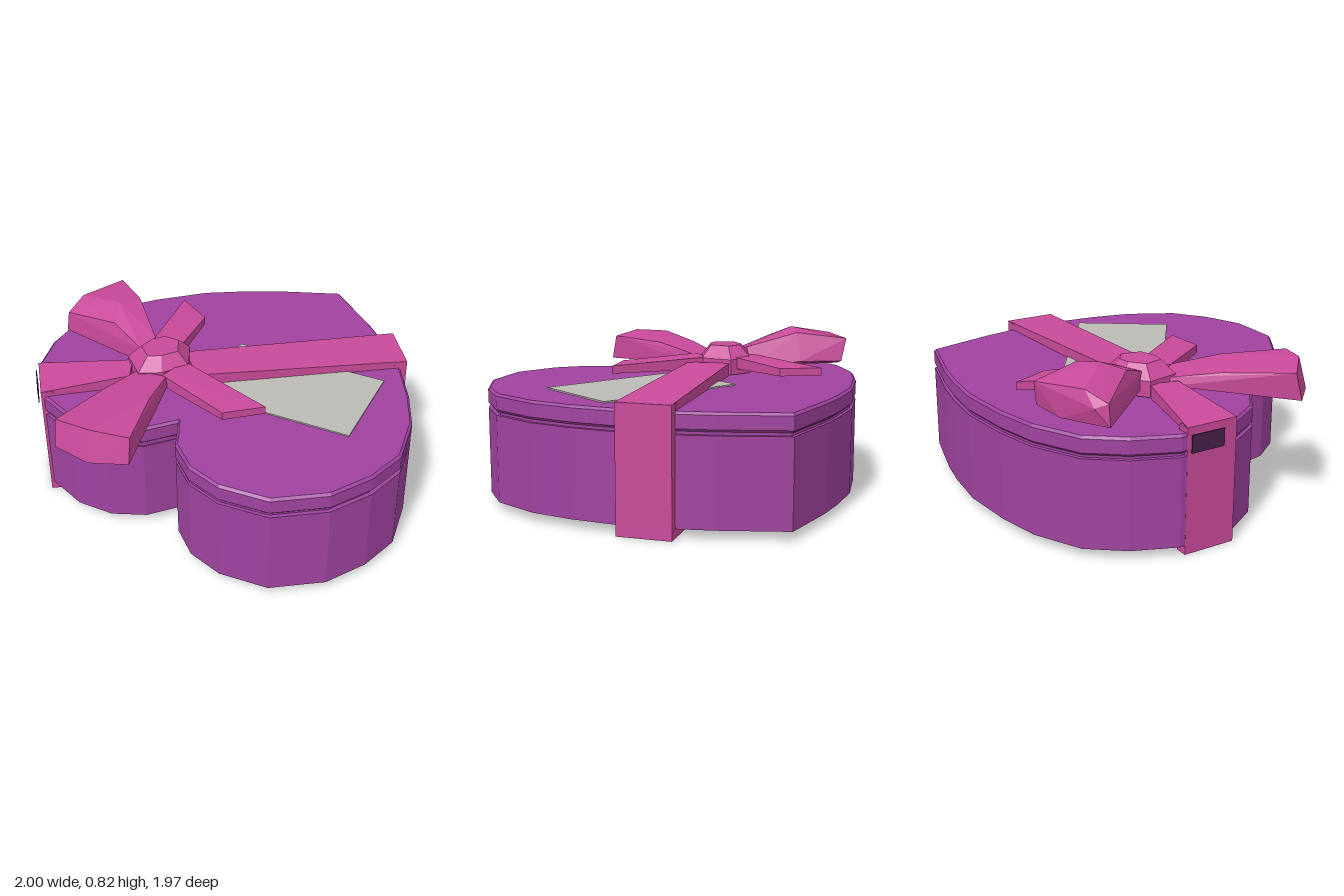
import * as THREE from 'three';
import { ConvexGeometry } from 'three/addons/geometries/ConvexGeometry.js';

const mat = (name, color) => {
  const m = new THREE.MeshStandardMaterial({ color, flatShading: true });
  m.name = name;
  return m;
};

// right half of the heart outline as [x, z], from back tip to front notch
const HALF = [[0, -0.99], [0.3, -0.81], [0.44, -0.71], [0.62, -0.56], [0.8, -0.34], [0.92, -0.15], [1, 0.1],
  [0.97, 0.31], [0.88, 0.52], [0.68, 0.71], [0.44, 0.765], [0.25, 0.735], [0.1, 0.64], [0.04, 0.55], [0, 0.49]];
const HEART = [...HALF, ...HALF.slice(1, -1).reverse().map(([x, z]) => [-x, z])];

// upright prism over an [x, z] outline, optionally with a small bevel
function slab(outline, y0, y1, bevel = 0) {
  const shape = new THREE.Shape(outline.map(([x, z]) => new THREE.Vector2(x, -z)));
  const g = new THREE.ExtrudeGeometry(shape, {
    depth: y1 - y0 - bevel * 2, bevelEnabled: bevel > 0, bevelThickness: bevel,
    bevelSize: bevel, bevelOffset: -bevel, bevelSegments: 1,
  });
  return g.rotateX(-Math.PI / 2).translate(0, y0 + bevel, 0);
}

// faceted solid around a few [x, y, z] points
const hull = (pts) => new ConvexGeometry(pts.map((p) => new THREE.Vector3(...p)));

// ribbon piece between two edges, each edge = [a, b, yBottom, yTop] with a, b as [x, z]
const band = (...edges) => hull(edges.flatMap(([a, b, lo, hi]) =>
  [a, b].flatMap(([x, z]) => [[x, lo, z], [x, hi, z]])));

export function createModel() {
  const group = new THREE.Group();
  const purple = mat('boxPurple', 0xa143a0);
  const pink = mat('ribbonPink', 0xc94a9a);
  const grey = mat('cardGrey', 0xbcbab4);
  const dark = mat('darkPurple', 0x4a2049);
  const add = (name, geometry, material) => {
    const mesh = new THREE.Mesh(geometry, material);
    mesh.name = name;
    group.add(mesh);
    return mesh;
  };

  // heart-shaped box
  add('boxBase', slab(HEART, 0.045, 0.48), purple);
  add('boxNeck', slab(HEART.map(([x, z]) => [x * 0.98, z * 0.98]), 0.47, 0.51), purple);
  add('boxLid', slab(HEART, 0.495, 0.585, 0.012), purple);

  // card tucked under the ribbon
  add('card', slab([[-0.14, -0.23], [0.64, -0.37], [0.73, 0.12], [-0.05, 0.26]], 0.584, 0.592), grey);

  // ribbon wrapped around the box, pinched near the knot
  const backA = [0.48, -0.74], backB = [0.67, -0.55];
  const frontA = [-0.86, 0.54], frontB = [-0.67, 0.725];
  const midA = [-0.37, 0.15], midB = [-0.26, 0.26];
  add('ribbonTopBack', band([backA, backB, 0.58, 0.622], [[-0.28, 0.07], [-0.1, 0.2], 0.58, 0.65]), pink);
  add('ribbonTopFront', band([frontA, frontB, 0.58, 0.612], [[-0.45, 0.28], [-0.37, 0.4], 0.58, 0.65]), pink);
  add('ribbonBottomBack', band([backA, backB, 0, 0.046], [[-0.08, -0.17], [0.1, 0.01], 0, 0.046]), pink);
  add('ribbonBottomMiddle', band([[-0.08, -0.17], [0.1, 0.01], 0, 0.046], [midA, midB, 0, 0.046]), pink);
  add('ribbonBottomFront', band([midA, midB, 0, 0.046], [frontA, frontB, 0, 0.046]), pink);
  const inset = ([x, z], d) => [x + d, z - d];
  add('ribbonSideBack', slab([backA, backB, inset(backB, -0.045), inset(backA, -0.045)], 0, 0.62), pink);
  add('ribbonSideFront', slab([frontA, frontB, inset(frontB, 0.045), inset(frontA, 0.045)], 0, 0.61), pink);
  add('ribbonFold', slab([[-0.853, 0.553], [-0.728, 0.675], [-0.731, 0.678], [-0.856, 0.556]]
    .map((p) => inset(p, -0.006)), 0.495, 0.58), dark);

  // dark patches under the box: [position along ribbon, sideways offset, radius]
  [[0.08, 0, 0.17], [0.27, 0.09, 0.1], [0.48, -0.13, 0.12], [0.68, -0.14, 0.11], [0.86, 0.2, 0.11], [0.87, -0.14, 0.12]]
    .forEach(([t, s, r]) => {
      const patch = add('undersidePatch', new THREE.CylinderGeometry(r, r, 0.004, 12), dark);
      patch.scale.x = 0.65;
      patch.rotation.y = -Math.PI / 4;
      patch.position.set(0.54 - 1.27 * t + s * 0.71, 0.043, -0.6 + 1.2 * t + s * 0.71);
    });

  // bow knot
  const knot = [[-0.4, 0.06], [-0.27, 0.04], [-0.17, 0.18], [-0.24, 0.31], [-0.33, 0.38], [-0.47, 0.29], [-0.46, 0.15]];
  add('bowKnot', hull(knot.flatMap(([x, z]) => [
    [x, 0.59, z], [x, 0.67, z],
    [-0.32 + (x + 0.32) * 0.6, 0.735, 0.2 + (z - 0.2) * 0.6],
  ])), pink);

  // two puffed loops
  add('bowLoopLeft', hull([
    [-0.42, 0.62, 0.1], [-0.42, 0.72, 0.13], [-0.4, 0.62, 0.24], [-0.42, 0.7, 0.24],
    [-0.64, 0.8, -0.02], [-0.68, 0.82, 0.1], [-0.62, 0.77, 0.21], [-0.64, 0.65, -0.06],
    [-0.87, 0.77, -0.15], [-0.84, 0.65, -0.15], [-0.93, 0.775, 0.1], [-0.96, 0.7, 0.15],
    [-0.95, 0.615, 0.22], [-0.94, 0.72, 0.21], [-0.6, 0.615, 0.22], [-0.9, 0.62, -0.02],
  ]), pink);
  add('bowLoopFront', hull([
    [-0.37, 0.62, 0.36], [-0.2, 0.62, 0.3], [-0.36, 0.66, 0.36], [-0.2, 0.67, 0.32],
    [-0.35, 0.7, 0.6], [-0.11, 0.715, 0.56], [-0.35, 0.725, 0.95], [-0.15, 0.745, 0.94],
    [0.02, 0.725, 0.86], [-0.34, 0.59, 0.98], [-0.14, 0.585, 0.98], [0.03, 0.595, 0.89], [-0.34, 0.61, 0.6],
  ]), pink);

  // ribbon tails
  add('bowTailBack', band([[-0.59, -0.33], [-0.39, -0.25], 0.615, 0.655], [[-0.45, 0.12], [-0.3, 0.08], 0.62, 0.68]), pink);
  add('bowTailRight', band([[0.33, 0.23], [0.19, 0.39], 0.615, 0.655], [[-0.2, 0.17], [-0.22, 0.33], 0.61, 0.675]), pink);

  return group;
}
